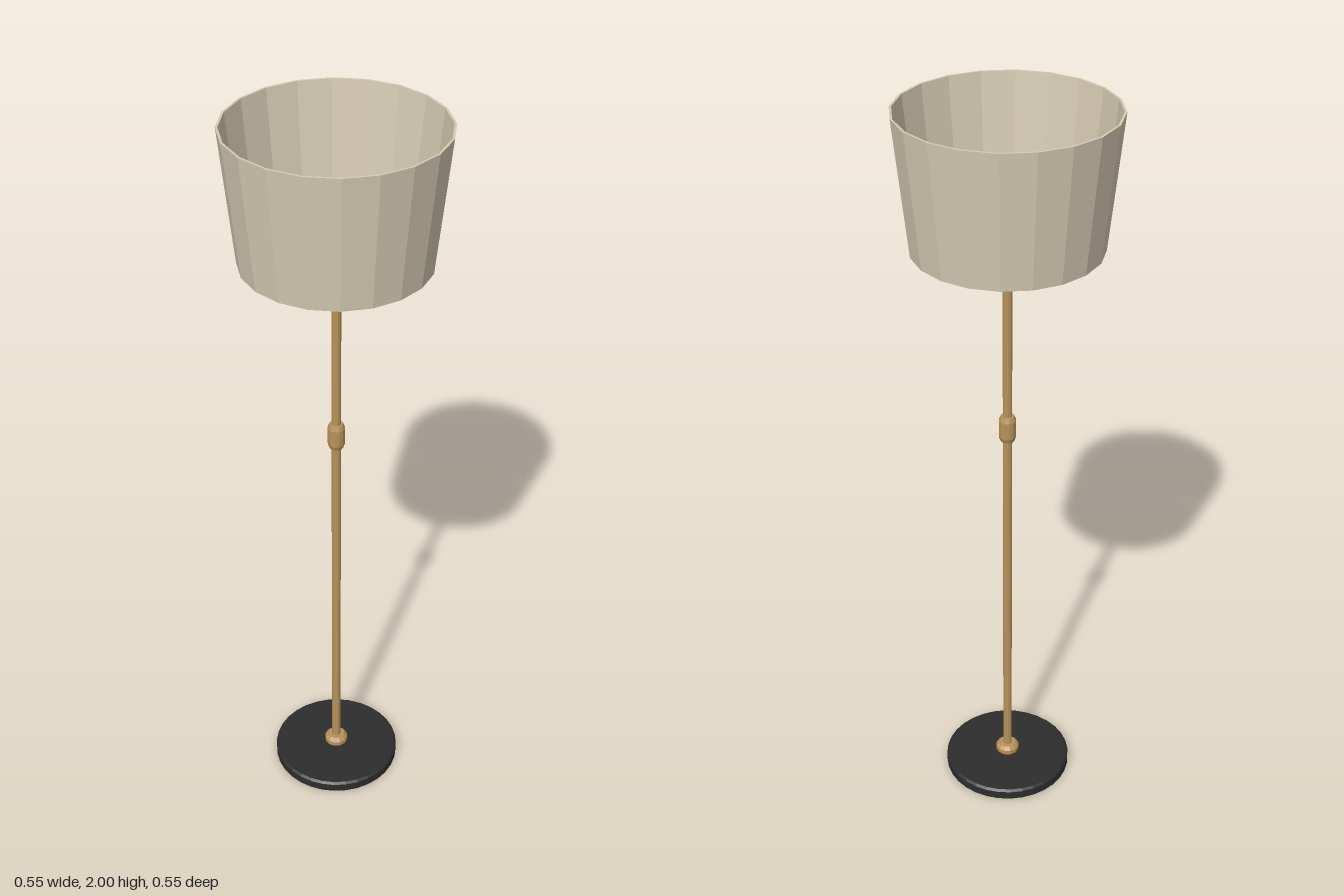
import * as THREE from 'three';

export function createModel() {
  const model = new THREE.Group();
  model.name = 'floorLamp';

  const material = (name, color, side = THREE.FrontSide) => {
    const m = new THREE.MeshStandardMaterial({ color, flatShading: true, side });
    m.name = name;
    return m;
  };
  const brass = material('brass', 0xb8925a);
  const fabric = material('fabric', 0xd6cbb3);
  const black = material('blackMetal', 0x2d2d2d);

  // Turned part from [radius, height] points, listed from bottom to top
  const turned = (name, points, sides, mat) => {
    const profile = points.map(([r, y]) => new THREE.Vector2(r, y));
    const mesh = new THREE.Mesh(new THREE.LatheGeometry(profile, sides), mat);
    mesh.name = name;
    model.add(mesh);
  };

  // Weighted base with a small bevel
  turned('base', [[0, 0], [0.178, 0], [0.178, 0.024], [0.172, 0.03], [0, 0.03]], 32, black);

  // Stepped fitting where the pole meets the base
  turned('baseCollar', [[0.026, 0.03], [0.033, 0.037], [0.033, 0.05], [0.024, 0.06], [0, 0.06]], 12, brass);

  // Pole
  turned('pole', [[0.0125, 0.03], [0.0125, 1.71]], 12, brass);

  // Bevelled joint part way up the pole
  turned('poleJoint', [[0.0125, 1.102], [0.018, 1.102], [0.023, 1.115], [0.023, 1.163], [0.018, 1.176], [0.0125, 1.176]], 12, brass);

  // Socket passing through the diffuser
  turned('socket', [[0.0125, 1.69], [0.02, 1.7], [0.02, 1.735], [0, 1.735]], 16, brass);

  // Flat diffuser inside the shade
  turned('diffuser', [[0, 1.717], [0.202, 1.717], [0.202, 1.725], [0, 1.725]], 20, fabric);

  // Open tapered shade with a thin wall
  turned('shade', [[0.235, 1.65], [0.241, 1.65], [0.277, 2], [0.271, 2], [0.235, 1.65]], 20, fabric);

  return model;
}
